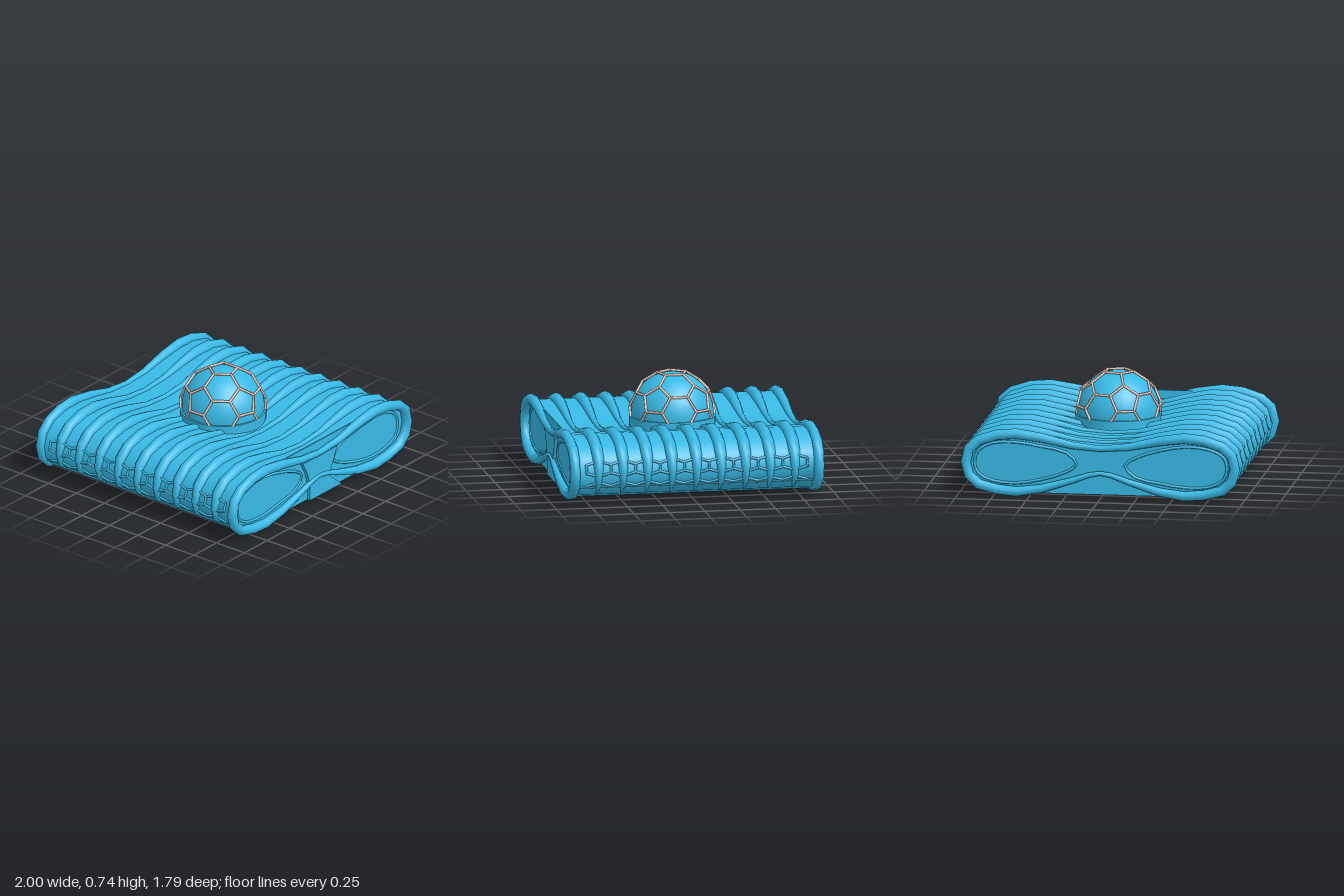
import * as THREE from 'three';
import { toCreasedNormals, mergeGeometries } from 'three/addons/utils/BufferGeometryUtils.js';

const V = (x, y, z = 0) => new THREE.Vector3(x, y, z);
const flatShape = points => new THREE.Shape(points.map(([x, y]) => new THREE.Vector2(x, y)));

// Half of the body outline, top centre to lower edge: x, y
const BODY = [[0, 0.365], [0.2, 0.38], [0.4, 0.42], [0.55, 0.44], [0.7, 0.44], [0.84, 0.405],
  [0.92, 0.335], [0.95, 0.24], [0.93, 0.15], [0.86, 0.075], [0.7, 0.03]];
// Half of a rib: x, y, radius
const RIB = [[0, 0.365, 0.018], [0.2, 0.38, 0.022], [0.4, 0.42, 0.034], [0.55, 0.442, 0.042], [0.7, 0.437, 0.044],
  [0.84, 0.395, 0.043], [0.91, 0.335, 0.042], [0.945, 0.24, 0.03], [0.93, 0.15, 0.021], [0.86, 0.075, 0.004]];
// Half of the end rim, waisted in the middle: x, y, radius
const RIM = [[0, 0.36, 0.022], [0.2, 0.377, 0.026], [0.42, 0.425, 0.034], [0.6, 0.449, 0.037], [0.74, 0.437, 0.037],
  [0.87, 0.395, 0.037], [0.94, 0.335, 0.037], [0.963, 0.24, 0.037], [0.94, 0.15, 0.037], [0.87, 0.085, 0.037],
  [0.74, 0.052, 0.036], [0.6, 0.04, 0.035], [0.42, 0.066, 0.03], [0.2, 0.13, 0.022], [0.08, 0.172, 0.018], [0, 0.185, 0.016]];
// Inner lip of one end lobe
const LOBE = [[0.17, 0.24], [0.24, 0.32], [0.42, 0.36], [0.6, 0.385], [0.76, 0.375], [0.86, 0.32],
  [0.885, 0.24], [0.86, 0.16], [0.76, 0.11], [0.6, 0.095], [0.42, 0.125], [0.24, 0.185]];

// Full left-to-right run mirrored from a half profile
const mirrored = half => [...half.slice(1).reverse().map(([x, ...r]) => [-x, ...r]), ...half];

// Tapering tube along a path in the xy plane; the z of each path point is its radius
function sweep(points, closed, rows, sides = 10) {
  const curve = new THREE.CatmullRomCurve3(points, closed);
  const pos = [], index = [], n = closed ? rows : rows + 1;
  for (let i = 0; i < n; i++) {
    const p = curve.getPoint(i / rows), t = curve.getTangent(i / rows).setZ(0).normalize();
    for (let j = 0; j < sides; j++) {
      const a = j / sides * Math.PI * 2, c = p.z * Math.cos(a);
      pos.push(p.x + t.y * c, p.y - t.x * c, p.z * Math.sin(a));
    }
  }
  for (let i = 0; i < rows; i++) for (let j = 0; j < sides; j++) {
    const i2 = (i + 1) % n, j2 = (j + 1) % sides;
    const a = i * sides + j, b = i2 * sides + j, c = i2 * sides + j2, d = i * sides + j2;
    index.push(a, b, c, a, c, d);
  }
  const g = new THREE.BufferGeometry();
  g.setAttribute('position', new THREE.Float32BufferAttribute(pos, 3));
  g.setIndex(index);
  g.computeVertexNormals();
  return g;
}

// Straight round strut between two points
function strut(a, b, r) {
  const d = b.clone().sub(a);
  const g = new THREE.CylinderGeometry(r, r, d.length() + r, 6);
  g.applyQuaternion(new THREE.Quaternion().setFromUnitVectors(V(0, 1, 0), d.normalize()));
  const m = a.clone().add(b).multiplyScalar(0.5);
  return g.translate(m.x, m.y, m.z);
}

// Edges of a pentagon-and-hexagon ball with one pentagon on top
function ballEdges(radius) {
  const ico = [V(0, 1, 0), V(0, -1, 0)];
  for (let k = 0; k < 5; k++) for (const s of [1, -1]) {
    const a = (k * 2 + (s < 0 ? 1 : 0)) * Math.PI / 5;
    ico.push(V(Math.sin(a) * 2, s, Math.cos(a) * 2).divideScalar(Math.sqrt(5)));
  }
  const near = (a, b) => a !== b && a.distanceTo(b) < 1.1;
  const verts = [];
  for (const a of ico) for (const b of ico) if (near(a, b)) verts.push(a.clone().lerp(b, 1 / 3).setLength(radius));
  const edges = [];
  verts.forEach((a, i) => verts.slice(i + 1).forEach(b => {
    if (a.distanceTo(b) < radius * 0.45) edges.push([a, b]);
  }));
  return edges;
}

// Outer x of the body's side at a given height
function sideX(y) {
  for (let i = 5; i < BODY.length - 1; i++) {
    const [x0, y0] = BODY[i], [x1, y1] = BODY[i + 1];
    if (y <= y0 && y >= y1) return x0 + (x1 - x0) * (y0 - y) / (y0 - y1);
  }
  return 0.9;
}

export function createModel() {
  const model = new THREE.Group();
  const blue = new THREE.MeshStandardMaterial({ color: 0x38b9e6 });
  blue.name = 'blue';
  const tan = new THREE.MeshStandardMaterial({ color: 0xecccbf });
  tan.name = 'pale tan';
  const add = (name, geo, mat = blue, x = 0, y = 0, z = 0) => {
    const m = new THREE.Mesh(geo, mat);
    m.name = name;
    m.position.set(x, y, z);
    model.add(m);
    return m;
  };

  // Waisted body with a flat underside
  const bodyGeo = new THREE.ExtrudeGeometry(flatShape(mirrored(BODY)), { depth: 1.68, bevelEnabled: false });
  add('body', toCreasedNormals(bodyGeo, 0.7), blue, 0, 0, -0.84);

  // Cross ribs
  const ribGeo = sweep(mirrored(RIB).map(p => V(...p)), false, 18);
  for (let i = -4; i <= 4; i++) add('rib', ribGeo, blue, 0, 0, i * 0.173);

  // End rims and the lips inside their lobes
  const rimLoop = [...RIM, ...RIM.slice(1, -1).reverse().map(([x, y, r]) => [-x, y, r])].map(p => V(...p));
  const rimGeo = sweep(rimLoop, true, 30);
  const lipGeo = sweep(LOBE.map(([x, y]) => V(x, y, 0.01)), true, 24, 6);
  for (const s of [1, -1]) {
    const rim = add(s > 0 ? 'frontRim' : 'backRim', rimGeo, blue, 0, 0, s * 0.862);
    if (s < 0) rim.scale.x = 0.98;
    for (const turn of [0, Math.PI]) {
      const lip = add('lobeLip', lipGeo, blue, 0, turn ? 0.48 : 0, s * 0.84);
      lip.rotation.z = turn;
    }
  }

  // Straight-topped front panel over the dip, and the block at the waist
  const panel = flatShape([[-0.55, 0.44], [-0.2, 0.36], [0.2, 0.36], [0.55, 0.44]]);
  add('frontPanel', new THREE.ExtrudeGeometry(panel, { depth: 0.01, bevelEnabled: false }), blue, 0, 0, 0.835);
  const block = flatShape([[-0.11, 0.03], [0.24, 0.03], [0.1, 0.15], [0.15, 0.25], [0.19, 0.34],
    [-0.19, 0.34], [-0.14, 0.25], [-0.11, 0.15]]);
  add('waistBlock', new THREE.ExtrudeGeometry(block, { depth: 0.035, bevelEnabled: false }), blue, 0, 0, 0.83);

  // Honeycomb lattice on both sides
  const side = (y, z) => V(sideX(y) + 0.004, y, z);
  const lattice = [], step = 0.0865;
  const rows = [[0.17, 0.145], [0.215, 0.24], [0.32, 0.295]];
  for (let k = -9; k <= 9; k++) {
    const z = k * step, odd = Math.abs(k) % 2;
    rows.forEach((r, i) => {
      if (k < 9) lattice.push(strut(side(r[odd], z), side(r[1 - odd], z + step), 0.009));
      const next = rows[i + 1];
      if (next && odd === i % 2) lattice.push(strut(side(r[odd], z), side(next[odd], z), 0.009));
    });
  }
  lattice.push(strut(side(0.135, -0.82), side(0.135, 0.82), 0.006));
  const latticeGeo = mergeGeometries(lattice);
  add('leftLattice', latticeGeo);
  add('rightLattice', latticeGeo).rotation.y = Math.PI;

  // Dome on its round base, with a tan strut frame
  add('domeBase', new THREE.CylinderGeometry(0.3, 0.3, 0.1, 40), blue, 0, 0.39, 0);
  add('dome', new THREE.SphereGeometry(0.288, 40, 16, 0, Math.PI * 2, 0, Math.PI * 0.53), blue, 0, 0.455, 0);
  const frame = [], floor = -0.015;
  for (const edge of ballEdges(0.302)) {
    const [a, b] = edge.slice().sort((p, q) => q.y - p.y);
    if (a.y < floor + 0.01) continue;
    const end = b.y < floor ? a.clone().lerp(b, (a.y - floor) / (a.y - b.y)) : b;
    frame.push(strut(a, end, 0.009));
  }
  add('domeFrame', mergeGeometries(frame), tan, 0, 0.455, 0).rotation.y = -Math.PI / 2;

  return model;
}
